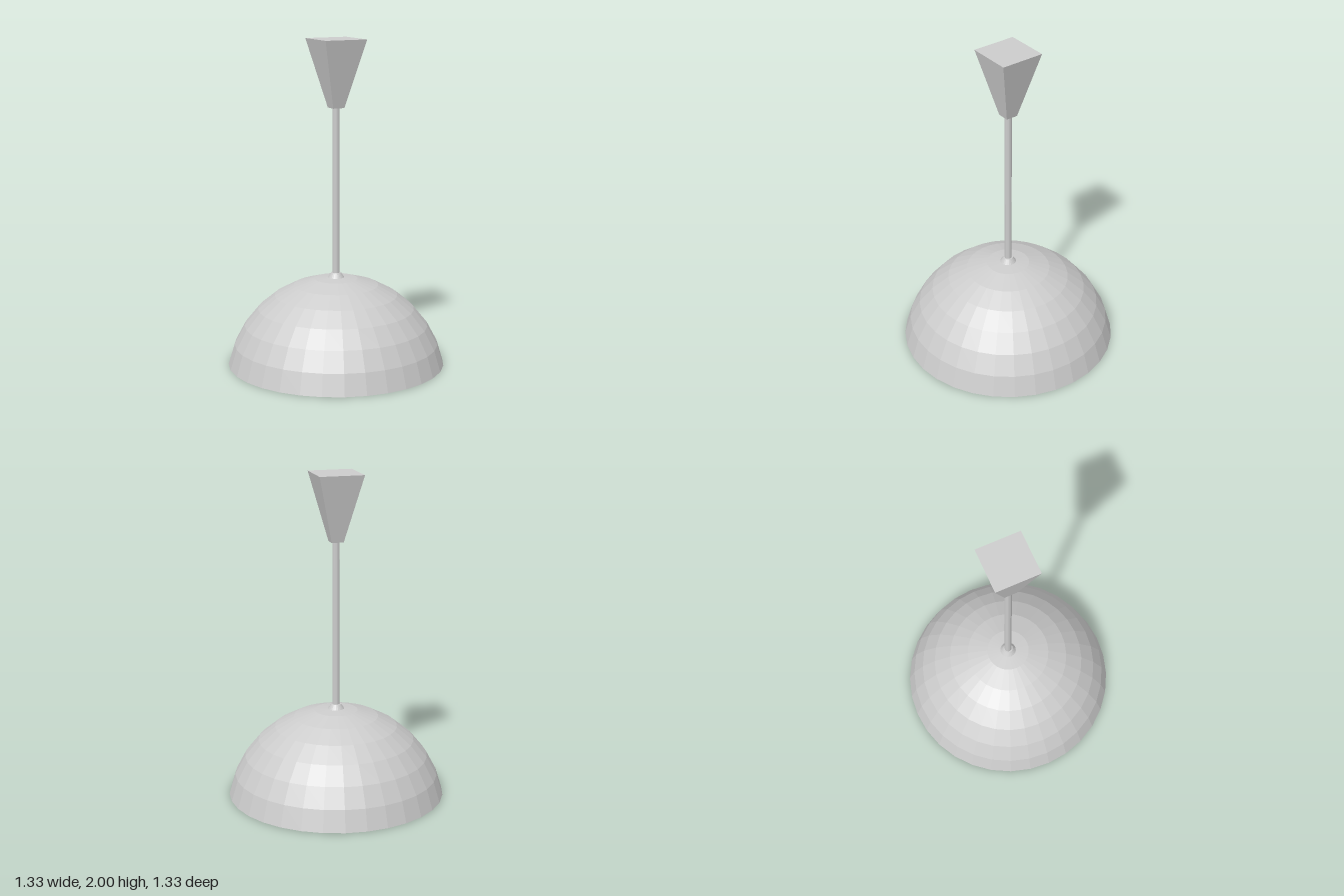
import * as THREE from 'three';

export function createModel() {
  const group = new THREE.Group();
  const grey = new THREE.MeshStandardMaterial({ color: 0xcccccc, flatShading: true });
  const greyDouble = new THREE.MeshStandardMaterial({ color: 0xcccccc, flatShading: true, side: THREE.DoubleSide });

  const add = (name, geometry, y, material = grey) => {
    const mesh = new THREE.Mesh(geometry, material);
    mesh.name = name;
    mesh.position.y = y;
    group.add(mesh);
    return mesh;
  };

  // Thin open dome: seven rings of a 32-sided sphere, with its rim at y = 0
  const radius = 0.68;
  const rimAngle = (7 * Math.PI) / 16;
  add('shade', new THREE.SphereGeometry(radius, 32, 7, 0, Math.PI * 2, 0, rimAngle),
    -radius * Math.cos(rimAngle), greyDouble);

  // Small collar where the rod enters the shade
  add('collar', new THREE.CylinderGeometry(0.03, 0.05, 0.03, 24), 0.557);

  // Rod from the ceiling cap down to the bulb
  const rodTop = 1.6, rodBottom = 0.43;
  add('rod', new THREE.CylinderGeometry(0.022, 0.022, rodTop - rodBottom, 16), (rodTop + rodBottom) / 2);

  // Round bulb inside the shade
  add('bulb', new THREE.SphereGeometry(0.153, 32, 16), 0.3);

  // Square ceiling cap, tapering downwards
  const capHeight = 0.412;
  const cap = new THREE.CylinderGeometry(0.137 * Math.SQRT2, 0.037 * Math.SQRT2, capHeight, 4);
  cap.rotateY(Math.PI / 4);
  add('ceilingCap', cap, 2 - capHeight / 2);

  return group;
}
